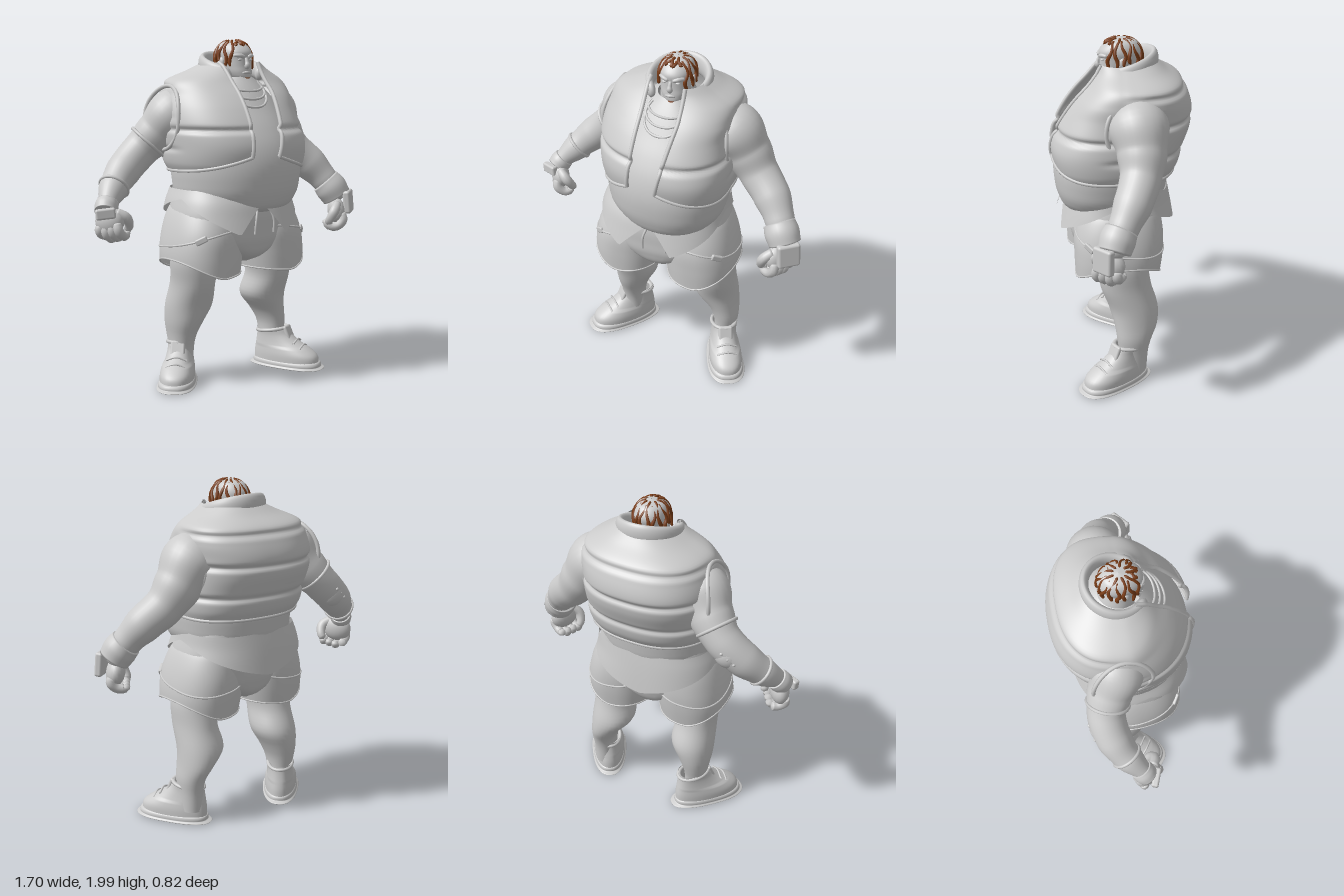
import * as THREE from 'three';
import { mergeVertices } from 'three/addons/utils/BufferGeometryUtils.js';
import { RoundedBoxGeometry } from 'three/addons/geometries/RoundedBoxGeometry.js';

const { sin, cos, abs, sign, PI, min, max } = Math;
const grey = new THREE.MeshStandardMaterial({ color: 0xcccccc, side: THREE.DoubleSide });
const brown = new THREE.MeshStandardMaterial({ color: 0x7a3d18, side: THREE.DoubleSide });
const V = (x, y, z) => new THREE.Vector3(x, y, z);
const lerp = THREE.MathUtils.lerp;

// Surface from a rule f(u, v) -> point, smooth and welded
function grid(nu, nv, f) {
  const pos = [], idx = [];
  for (let j = 0; j <= nv; j++) for (let i = 0; i <= nu; i++) pos.push(...f(i / nu, j / nv).toArray());
  for (let j = 0; j < nv; j++) for (let i = 0; i < nu; i++) {
    const a = j * (nu + 1) + i, c = a + nu + 1;
    idx.push(a, a + 1, c, a + 1, c + 1, c);
  }
  let g = new THREE.BufferGeometry();
  g.setAttribute('position', new THREE.Float32BufferAttribute(pos, 3));
  g.setIndex(idx);
  g = mergeVertices(g, 1e-5);
  g.computeVertexNormals();
  return g;
}

// Smooth lookup in rows of [y, centreX, halfWidth, zFront, zBack]
function rowAt(rows, y) {
  const n = rows.length;
  y = min(max(y, rows[0][0]), rows[n - 1][0]);
  let i = 0;
  while (i < n - 2 && y > rows[i + 1][0]) i++;
  const h = rows[i + 1][0] - rows[i][0], t = (y - rows[i][0]) / h;
  const slope = (k, c) => {
    const a = rows[max(k - 1, 0)], b = rows[min(k + 1, n - 1)];
    return (b[c] - a[c]) / (b[0] - a[0]) * h;
  };
  return rows[i].map((p, c) => {
    const q = rows[i + 1][c], t2 = t * t, t3 = t2 * t;
    return (2 * t3 - 3 * t2 + 1) * p + (t3 - 2 * t2 + t) * slope(i, c) + (3 * t2 - 2 * t3) * q + (t3 - t2) * slope(i + 1, c);
  });
}

// Point on a horizontal superellipse; angle 0 is the front, twist turns the body, mostly at the back
function ringPoint(rows, y, a, n = 2, twist = 0) {
  const [, cx, hw, zf, zb] = rowAt(rows, y), e = 2 / n, s = sin(a), c = cos(a);
  const x = cx + hw * sign(s) * abs(s) ** e;
  const z = (zf + zb) / 2 + (zf - zb) / 2 * sign(c) * abs(c) ** e;
  return V(x - 1.3 * twist * min(0, z), y, z + twist * x);
}
const loft = (rows, n, twist, nu = 48, nv = 40) => grid(nu, nv, (u, v) =>
  ringPoint(rows, lerp(rows[0][0], rows[rows.length - 1][0], v), u * PI * 2, n, twist));

// Round-ended limb through points [x, y, z, radius]
function limb(pts, nu = 20, nv = 32, round = 20) {
  const curve = new THREE.CatmullRomCurve3(pts.map(p => V(...p)));
  const fr = curve.computeFrenetFrames(nv), k = pts.length - 1;
  return grid(nu, nv, (u, v) => {
    const t = curve.getUtoTmapping(v) * k, i = min(Math.floor(t), k - 1), j = Math.round(v * nv);
    const w = THREE.MathUtils.smoothstep(t - i, 0, 1);
    const r = lerp(pts[i][3], pts[i + 1][3], w) * min(1, Math.sqrt(max(0, v * (1 - v) * round)));
    return curve.getPointAt(v).addScaledVector(fr.normals[j], r * cos(u * PI * 2)).addScaledVector(fr.binormals[j], r * sin(u * PI * 2));
  });
}
const cord = (pts, r, closed = false) =>
  new THREE.TubeGeometry(new THREE.CatmullRomCurve3(pts, closed), pts.length * 3, r, 8, closed);
const trace = (n, f) => Array.from({ length: n + 1 }, (_, i) => f(i / n));

export function createModel() {
  const root = new THREE.Group();
  const add = (name, geo, parent = root, mat = grey) => {
    const m = new THREE.Mesh(geo, mat);
    m.name = name;
    parent.add(m);
    return m;
  };
  const ball = (name, p, s, parent = root, mat = grey) => {
    const m = add(name, new THREE.SphereGeometry(1, 20, 14), parent, mat);
    m.position.set(...p); m.scale.set(...s);
    return m;
  };

  // Shirt with heavy belly
  const twist = 0.13;
  const shirt = [[.99, .02, .06, .2, -.1], [1.03, .02, .25, .32, -.2], [1.1, .015, .335, .365, -.25], [1.2, .015, .36, .385, -.27],
    [1.3, .015, .365, .385, -.28], [1.4, .01, .36, .36, -.3], [1.5, .01, .34, .31, -.3], [1.6, .02, .3, .245, -.3],
    [1.7, .03, .21, .18, -.24], [1.78, .04, .1, .12, -.12]];
  add('shirt', loft(shirt, 2.15, twist));
  // Loose shirt tails: two points in front, one behind
  const tails = [[.88, 0, .41, .385, -.31], [1, 0, .39, .35, -.29], [1.08, 0, .37, .325, -.275], [1.15, .01, .35, .29, -.26]];
  const hemY = a => {
    const q = Math.atan2(sin(a), cos(a)), f = abs(q), tip = q < 0 ? .36 : .26;
    return f < tip ? lerp(1.07, .91, f / tip) : f < 1.5 ? lerp(.91, 1.1, (f - tip) / (1.5 - tip)) : lerp(1.1, .91, (f - 1.5) / (PI - 1.5));
  };
  add('shirtTails', grid(144, 12, (u, v) => ringPoint(tails, lerp(hemY(u * 2 * PI), 1.15, v), u * 2 * PI, 2.5, .02)));

  // Puffer vest, open at the front, pinched at the seams
  const vestRows = [[1.24, .02, .36, .355, -.29], [1.3, .015, .385, .385, -.325], [1.4, .01, .395, .4, -.35], [1.5, 0, .395, .37, -.385],
    [1.6, 0, .385, .315, -.395], [1.68, .015, .375, .255, -.375], [1.76, .025, .345, .18, -.335], [1.82, .04, .23, .14, -.25], [1.86, .05, .16, .125, -.2]];
  const n = 2.4;
  const edge = (y, x) => {
    const r = rowAt(vestRows, y), q = (x - r[1]) / r[2];
    return sign(q) * Math.asin(min(1, abs(q) ** (n / 2)));
  };
  const vestPoint = (u, v) => {
    const y = lerp(1.25 + .09 * abs(2 * u - 1) ** 5, 1.86, v), k = min(1, (y - 1.33) / .37);
    const a = lerp(edge(y, lerp(.06, .135, k)), 2 * PI + edge(y, lerp(-.11, -.09, k)), u);
    const p = ringPoint(vestRows, y, a, n, twist), front = THREE.MathUtils.smoothstep(cos(a), -.3, .3);
    const dip = list => list.reduce((s, q) => s + Math.exp(-(((y - q) / .016) ** 2)), 0);
    const f = 1 - .045 * (front * dip([1.49]) + (1 - front) * dip([1.38, 1.56, 1.73]));
    return V(p.x * f, y, p.z * f);
  };
  add('vest', grid(96, 70, vestPoint));
  for (const u of [0, 1]) add('vestFrontPiping', cord(trace(24, t => vestPoint(u, t)), .012));
  add('vestHem', cord(trace(50, t => vestPoint(t, 0)), .01));
  // Standing collar, higher at the back, running down into the front edges
  add('collar', grid(60, 16, (u, v) => {
    const a = lerp(.62, 2 * PI - .62, u), end = min(1, Math.sqrt(u * (1 - u) * 25));
    const back = (1 - cos(a)) / 2, r = .025 * cos(v * 2 * PI) * end, h = lerp(.04, .06, back) * sin(v * 2 * PI) * end;
    return V(.05 + (.165 + r) * sin(a), lerp(1.785, 1.868, back) + h, -.025 + (.155 + r) * cos(a) + .015 * (1 - back));
  }));

  // Arms, shoulder to wrist
  const arms = {
    leftArm: [[.26, 1.62, -.03, .13], [.365, 1.565, -.035, .165], [.45, 1.45, -.035, .135], [.53, 1.34, -.01, .112], [.62, 1.25, .045, .105], [.69, 1.15, .11, .085], [.73, 1.06, .16, .062], [.74, 1, .18, .06]],
    rightArm: [[-.2, 1.62, -.09, .12], [-.295, 1.56, -.12, .15], [-.365, 1.46, -.18, .125], [-.45, 1.36, -.23, .105], [-.56, 1.26, -.225, .1], [-.66, 1.17, -.18, .083], [-.75, 1.08, -.11, .052], [-.77, 1.03, -.09, .05]],
  };
  for (const [name, pts] of Object.entries(arms)) {
    add(name, limb(pts, 28, 48, 30));
    const s = name === 'leftArm' ? 1 : -1;
    // Armhole rim
    add('armholeRim', cord(trace(23, t => {
      const a = t * 2 * PI * 23 / 24;
      return V(s * (.38 - .05 * max(0, sin(a)) ** 2), 1.55 + .18 * sin(a), (s > 0 ? -.02 : -.11) + .165 * cos(a));
    }), .012, true));
  }

  // Hand: palm, four curled fingers and thumb, hanging down local -y
  function hand(name, p, rot, side, curl) {
    const g = new THREE.Group();
    g.name = name;
    g.position.set(...p); g.rotation.set(...rot); g.scale.set(side * 1.12, 1.12, 1.12);
    root.add(g);
    ball('palm', [-.005, -.06, .005], [.048, .072, .078], g);
    for (let i = 0; i < 4; i++) {
      const z = .055 - .035 * i, l = i === 3 ? .85 : 1;
      add('finger', limb([[.012, -.07, z * .9, .022], [.015, -.115 * l, z, .025], [-.02, -.145 * l, z, .023], [-.06 * curl, -.14 * l, z, .021], [-.065 * curl, -.1 / curl, z, .018]], 10, 16), g);
    }
    add('thumb', limb([[0, -.02, .045, .025], [-.03, -.06, .085, .027], [-.06, -.1, .075, .023], [-.07, -.125, .05, .018]], 10, 16), g);
  }
  hand('leftHand', [.73, 1.02, .18], [-.15, -.6, .05], 1, 1);
  hand('rightHand', [-.765, 1.06, -.1], [-.25, .5, .1], -1, .85);

  // Wrist cuffs with plates
  add('leftCuff', limb([[.69, 1.14, .12, .09], [.72, 1.09, .15, .098], [.75, 1.03, .175, .09]], 24, 16, 60));
  const plate = add('leftCuffPlate', new RoundedBoxGeometry(.13, .14, .045, 3, .015));
  plate.position.set(.785, 1.01, .235); plate.rotation.set(-.1, .6, .1);
  add('rightCuff', limb([[-.735, 1.1, -.125, .062], [-.755, 1.075, -.11, .066], [-.775, 1.045, -.09, .062]], 24, 16, 60));
  const tag = add('rightCuffPlate', new RoundedBoxGeometry(.11, .06, .04, 3, .012));
  tag.position.set(-.8, 1.045, -.05); tag.rotation.set(0, -.5, .1);

  // Right elbow pad, studs and sleeve bands
  ball('elbowPad', [-.5, 1.3, -.275], [.08, .085, .065]).rotation.z = -.7;
  for (let i = 0; i < 3; i++) ball('elbowStud', [-.48 - .035 * i, 1.335 - .03 * i, -.335 + .005 * i], [.01, .01, .01]);
  const band = (p, dir, r) => {
    const m = add('armBand', new THREE.TorusGeometry(r, .01, 8, 32));
    m.position.set(...p);
    m.quaternion.setFromUnitVectors(V(0, 0, 1), V(...dir).normalize());
  };
  band([-.41, 1.41, -.208], [-.6, -.75, -.35], .115);
  band([-.66, 1.17, -.18], [-.7, -.65, .4], .083);

  // Shorts: seat plus two wide legs with a raised outer hem
  add('shortsSeat', loft([[.72, .01, .03, .17, -.1], [.76, .01, .12, .26, -.17], [.84, .01, .31, .295, -.205], [.92, .01, .37, .3, -.22], [1, .01, .375, .3, -.23], [1.1, .01, .35, .28, -.24], [1.16, .01, .33, .25, -.24]], 2.5, 0));
  for (const s of [1, -1]) {
    const dz = s > 0 ? .01 : -.01, ox = .012;
    const rows = [[.64, ox + s * .232, .2, .29 + dz, -.19 + dz], [.78, ox + s * .225, .215, .295 + dz, -.21 + dz], [.9, ox + s * .21, .21, .29 + dz, -.215 + dz], [1.02, ox + s * .19, .185, .25 + dz, -.2 + dz], [1.1, ox + s * .17, .15, .2, -.17]];
    const hem = a => .66 + .1 * max(0, s * sin(a)) ** 1.5 + .02 * max(0, -s * sin(a));
    const legPoint = (u, v) => ringPoint(rows, lerp(hem(u * 2 * PI), 1.1, v), u * 2 * PI, 2.3, 0);
    add('shortsLeg', grid(56, 24, legPoint));
    add('shortsHem', cord(trace(40, t => legPoint(t * 40 / 41, 0)), .005, true));
    // Slanted thigh strap with buckle
    const strap = a => ringPoint(rows, .87 + .05 * cos(a) - .035 * s * sin(a), a, 2.3, 0);
    add('thighStrap', cord(trace(40, t => strap(s * t * 2 * PI * 40 / 41)), .006, true));
    const b = add('strapBuckle', new RoundedBoxGeometry(.07, .035, .022, 2, .008));
    b.position.copy(strap(s * .75)); b.rotation.set(0, s * .7, -s * .45);
    // Drawstring
    const x = .025 + s * .065;
    add('drawstring', cord([V(x - s * .02, 1.04, .31), V(x, .98, .325), V(x + s * .005, .9, .32)], .007));
  }

  // Bare legs with full calves
  const legs = {
    leftLeg: [[.08, .37, .065, .07, -.09], [.2, .37, .068, .075, -.1], [.28, .37, .075, .085, -.12], [.36, .347, .092, .095, -.155], [.46, .303, .13, .12, -.165], [.6, .305, .12, .17, -.125], [.75, .28, .14, .19, -.11], [.9, .22, .14, .19, -.15]],
    rightLeg: [[.08, -.272, .065, 0, -.16], [.2, -.272, .068, 0, -.165], [.28, -.27, .078, .02, -.185], [.36, -.26, .102, .055, -.2], [.46, -.238, .13, .09, -.2], [.6, -.245, .12, .14, -.15], [.75, -.24, .14, .16, -.13], [.9, -.2, .14, .16, -.16]],
  };
  for (const [name, rows] of Object.entries(legs)) add(name, loft(rows, 2.1, 0, 32, 32));

  // Chunky shoes, splayed outward, widening toward the toe
  const taper = geo => {
    const p = geo.attributes.position;
    for (let i = 0; i < p.count; i++) p.setX(i, p.getX(i) * (.92 + .6 * max(-.12, p.getZ(i)) * (p.getY(i) < .13 ? 1 : 0)));
    geo.computeVertexNormals();
    return geo;
  };
  for (const [s, x, z, turn] of [[1, .367, .02, .44], [-1, -.266, -.1, -.78]]) {
    const g = new THREE.Group();
    g.name = s > 0 ? 'leftShoe' : 'rightShoe';
    g.position.set(x, 0, z); g.rotation.y = turn;
    root.add(g);
    add('sole', taper(loft([[0, 0, .001, .1, .09], [.001, 0, .097, .295, -.12], [.02, 0, .106, .308, -.128], [.04, 0, .103, .302, -.126], [.05, 0, .09, .285, -.11]], 2.5, 0, 40, 50)), g);
    add('upper', taper(loft([[.03, 0, .1, .296, -.122], [.08, 0, .1, .285, -.122], [.12, 0, .093, .235, -.117], [.16, 0, .083, .165, -.11], [.2, 0, .077, .115, -.105], [.235, 0, .078, .09, -.105]], 2.3, 0, 40, 24)), g);
    const rim = add('shoeCollar', new THREE.TorusGeometry(.074, .011, 10, 32), g);
    rim.position.set(0, .228, -.008); rim.rotation.x = PI / 2 - .15; rim.scale.set(1, 1.28, 1);
    const tongue = add('tongue', new RoundedBoxGeometry(.085, .09, .025, 3, .012), g);
    tongue.position.set(0, .212, .098); tongue.rotation.x = -.4;
    for (let i = 0; i < 2; i++)
      add('lace', cord([V(-.06, .125 + .03 * i, .195 - .04 * i), V(0, .145 + .03 * i, .2 - .04 * i), V(.06, .125 + .03 * i, .195 - .04 * i)], .006), g);
  }

  // Neck and necklaces
  add('neck', limb([[.04, 1.64, -.04, .12], [.045, 1.74, -.02, .1], [.05, 1.85, 0, .085]], 24, 16, 40));
  for (let i = 0; i < 3; i++)
    add('necklace', cord(trace(16, t => {
      const q = (t - .5) * 2, p = ringPoint(shirt, 1.75 - (.05 + .045 * i) * (1 - q * q), q * (.9 - .12 * i), 2.15, twist);
      return p.setZ(p.z + .004);
    }), .007));

  // Head and face
  const head = new THREE.Group();
  head.name = 'head';
  root.add(head);
  add('skull', loft([[1.75, .055, .02, .1, .03], [1.765, .055, .05, .128, 0], [1.8, .052, .074, .132, -.04], [1.84, .05, .085, .126, -.08], [1.88, .05, .09, .124, -.105], [1.92, .05, .092, .124, -.112], [1.96, .05, .077, .09, -.09], [1.98, .05, .05, .055, -.06], [1.99, .05, .002, .002, -.002]], 2.15, 0, 36, 40), head);
  add('nose', limb([[.05, 1.89, .12, .009], [.05, 1.865, .13, .011], [.05, 1.842, .134, .017], [.05, 1.832, .12, .014]], 12, 12), head);
  add('mouth', limb([[.02, 1.8, .122, .007], [.05, 1.804, .132, .009], [.08, 1.8, .122, .007]], 10, 12), head);
  for (const s of [1, -1]) {
    add('brow', limb([[.05 + s * .01, 1.89, .124, .01], [.05 + s * .04, 1.9, .117, .012], [.05 + s * .07, 1.9, .09, .01]], 10, 12), head);
    ball('eye', [.05 + s * .037, 1.876, .114], [.015, .007, .008], head);
    ball('ear', [.05 + s * .09, 1.86, .01], [.014, .032, .022], head);
  }
  ball('goatee', [.055, 1.768, .115], [.03, .017, .02], head, brown);

  // Braided locks radiating from the crown, parted above the face
  for (let i = 0; i < 18; i++) {
    const a = (i + .5) / 18 * 2 * PI, face = cos(a) > .8, long = i % 2;
    const first = long ? .25 : .5, last = face ? .85 : 1.7;
    const pts = trace(5, t => {
      const f = lerp(first, last, t), b = a + .1 * sin(t * 6 + i * 2.4);
      return [.05 + .1 * sin(f) * sin(b), 1.886 + .105 * cos(f), .005 + .12 * sin(f) * cos(b), lerp(.007, .011, t)];
    });
    if (!face) pts.push([.05 + .108 * sin(a), (cos(a) > .2 ? 1.82 : 1.845) + .015 * long, .005 + .116 * cos(a), .007]);
    add('hairLock', limb(pts, 8, 18), head, brown);
  }
  return root;
}
